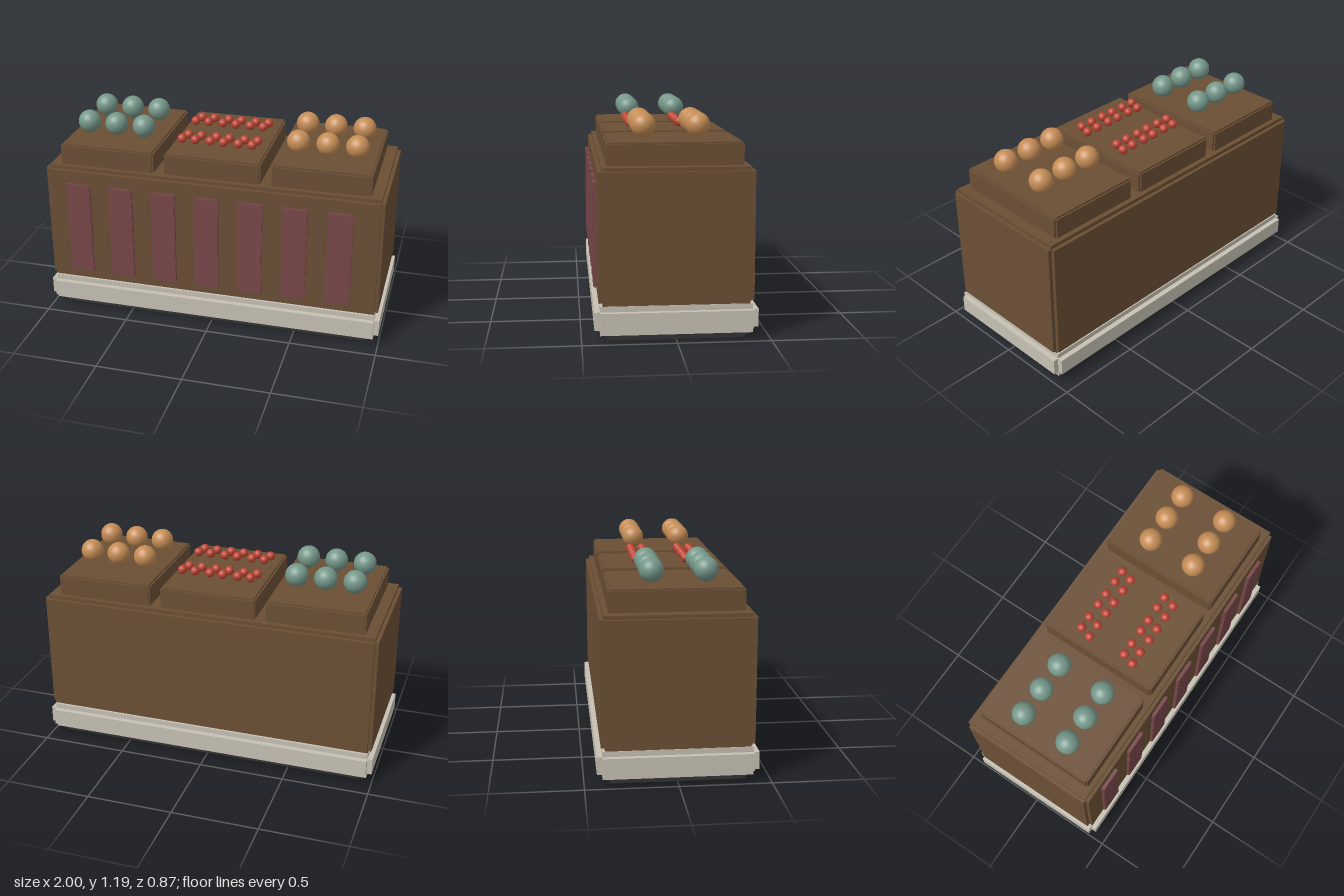
import * as THREE from 'three';

const mat = (name, color, flatShading = false) => {
  const m = new THREE.MeshStandardMaterial({ color });
  m.name = name;
  m.flatShading = flatShading;
  return m;
};

export function createModel() {
  const wood = mat('brown wood', 0x6b4f35, true);
  const stone = mat('pale stone', 0xc6c1b3, true);
  const dark = mat('dark plinth', 0x333333, true);
  const plum = mat('plum panel', 0x784749, true);
  const green = mat('green fruit', 0x75978a);
  const orange = mat('orange fruit', 0xc48c55);
  const red = mat('red fruit', 0xbc4433);

  const model = new THREE.Group();
  model.name = 'marketStall';

  // Box with notched edges: three crossing boxes, each full length on one axis
  function notchedBox(name, material, size, centre, notch) {
    const group = new THREE.Group();
    group.name = name;
    for (let axis = 0; axis < 3; axis++) {
      const dims = size.map((s, i) => (i === axis ? s : s - 2 * notch));
      const mesh = new THREE.Mesh(new THREE.BoxGeometry(...dims), material);
      mesh.name = `${name}Slab`;
      group.add(mesh);
    }
    group.position.set(...centre);
    model.add(group);
  }

  // Counter
  notchedBox('plinth', dark, [1.87, 0.07, 0.756], [0, 0.035, 0], 0.013);
  notchedBox('base', stone, [2, 0.157, 0.866], [0, 0.1185, 0], 0.03);
  notchedBox('body', wood, [1.976, 0.73, 0.82], [0, 0.558, 0], 0.021);

  // Front panels
  for (let i = 0; i < 7; i++) {
    notchedBox('frontPanel', plum, [0.142, 0.566, 0.02], [-0.783 + i * 0.2562, 0.547, 0.422], 0.004);
  }

  // Display trays
  const trayX = [-0.625, 0, 0.625];
  for (const x of trayX) {
    notchedBox('tray', wood, [0.562, 0.145, 0.72], [x, 0.9725, 0], 0.01);
  }

  // Fruit: two rows of three on each tray, the middle one in clusters of four
  const bigFruit = new THREE.SphereGeometry(0.066, 24, 16);
  const smallFruit = new THREE.SphereGeometry(0.027, 14, 10);
  const addFruit = (name, geometry, material, x, y, z) => {
    const mesh = new THREE.Mesh(geometry, material);
    mesh.name = name;
    mesh.position.set(x, y, z);
    model.add(mesh);
  };
  const cluster = [[-0.029, -0.034], [0.047, -0.034], [-0.05, 0.034], [0.029, 0.034]];
  for (const z of [-0.126, 0.162]) {
    for (const dx of [-0.168, -0.001, 0.166]) {
      addFruit('greenFruit', bigFruit, green, trayX[0] + dx, 1.126, z);
      addFruit('orangeFruit', bigFruit, orange, trayX[2] + dx, 1.126, z);
      for (const [cx, cz] of cluster) {
        addFruit('redFruit', smallFruit, red, dx + cx, 1.088, z + cz);
      }
    }
  }
  return model;
}
